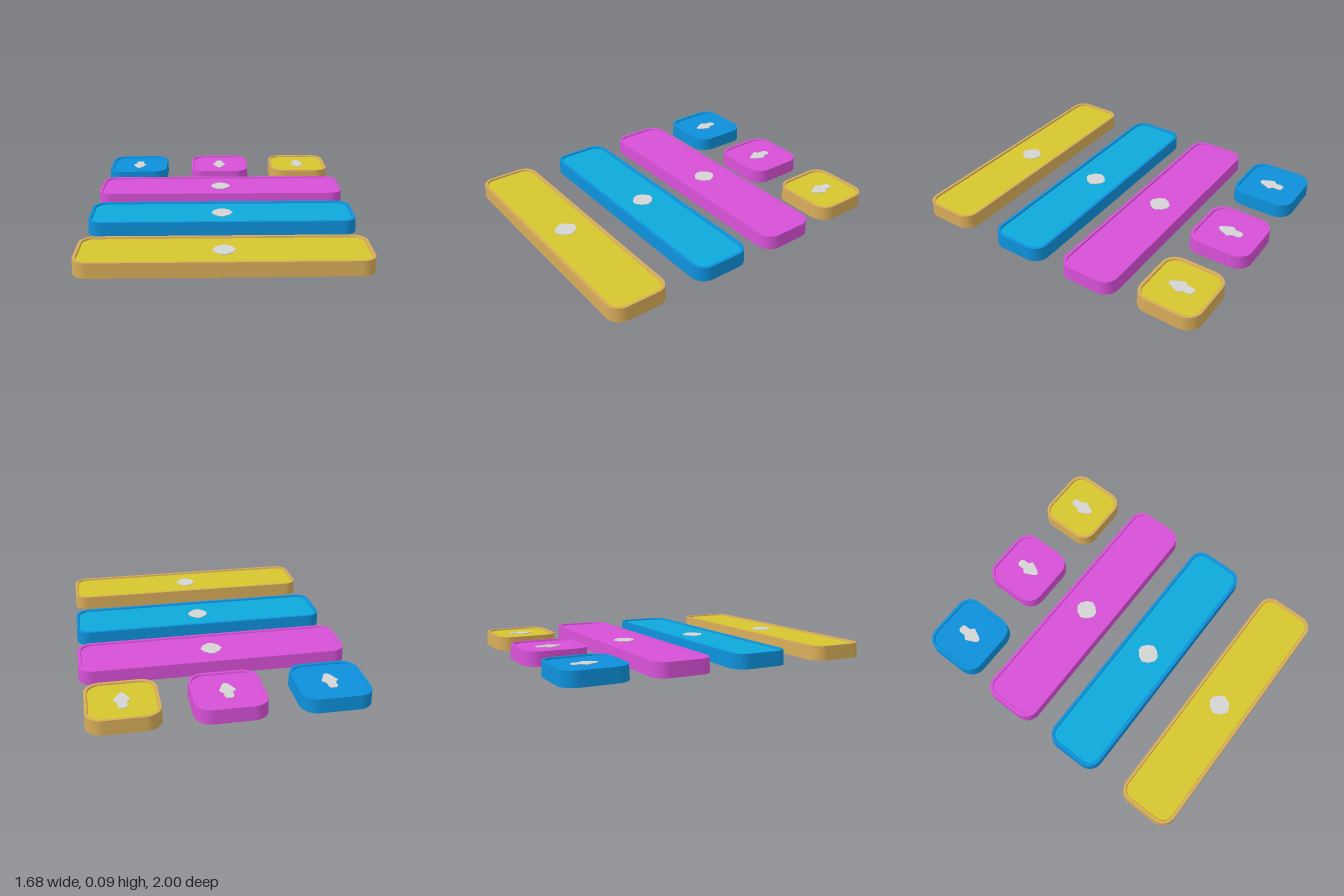
import * as THREE from 'three';

const mat = (name, color) => {
  const m = new THREE.MeshStandardMaterial({ color, side: THREE.DoubleSide });
  m.name = name;
  return m;
};

// Points of a rounded rectangle, shrunk by an inset
function roundedLoop(w, d, r, inset = 0) {
  const pts = [], steps = 8;
  for (let q = 0; q < 4; q++) {
    const sx = q === 0 || q === 3 ? 1 : -1, sz = q < 2 ? 1 : -1;
    for (let i = 0; i <= steps; i++) {
      const a = (q + i / steps) * Math.PI / 2, k = r - inset;
      pts.push([sx * (w / 2 - r) + Math.cos(a) * k, sz * (d / 2 - r) + Math.sin(a) * k]);
    }
  }
  return pts;
}

// Wall and rim: a profile of [inset, height] swept round the loop, each band with its own crisp edge
function sweepRim(w, d, r, profile) {
  const pos = [], idx = [];
  for (let b = 0; b < profile.length - 1; b++) {
    const base = pos.length / 3;
    const loops = [profile[b], profile[b + 1]].map(([inset, y]) => {
      const loop = roundedLoop(w, d, r, inset);
      loop.forEach(([x, z]) => pos.push(x, y, z));
      return loop;
    });
    const n = loops[0].length;
    for (let i = 0; i < n; i++) {
      const j = (i + 1) % n;
      idx.push(base + i, base + n + i, base + n + j, base + i, base + n + j, base + j);
    }
  }
  const g = new THREE.BufferGeometry();
  g.setAttribute('position', new THREE.Float32BufferAttribute(pos, 3));
  g.setIndex(idx);
  g.computeVertexNormals();
  return g;
}

const toShape = pts => new THREE.Shape(pts.map(([x, z]) => new THREE.Vector2(x, -z)));
const flat = pts => new THREE.ShapeGeometry(toShape(pts)).rotateX(-Math.PI / 2);

// Small emblem outlines in x, z
const keyIcon = [[-0.027, -0.065], [-0.015, -0.08], [0.015, -0.08], [0.027, -0.065], [0.027, -0.025],
  [0.05, 0], [0.022, 0.06], [0.008, 0.078], [-0.008, 0.078], [-0.022, 0.06], [-0.05, 0], [-0.027, -0.025]];
const barIcon = [[-0.015, -0.066], [0.015, -0.066], [0.05, -0.038], [0.068, 0], [0.05, 0.038],
  [0.015, 0.066], [-0.015, 0.066], [-0.05, 0.038], [-0.068, 0], [-0.05, -0.038]];

export function createModel() {
  const model = new THREE.Group();
  model.name = 'keySet';
  const tan = mat('tan', 0xd6ab58), yellow = mat('yellow', 0xd6c62f);
  const blue = mat('blue', 0x0d90da), cyan = mat('cyan', 0x0da8da);
  const pink = mat('pink', 0xd650d6), grey = mat('light grey', 0xd4d4d4);
  const H = 0.09, PANEL = 0.08;

  function tray(name, x, z, w, d, r, rimMat, panelMat, icon, closed) {
    const g = new THREE.Group();
    g.name = name;
    g.position.set(x, 0, z);
    const add = (part, geo, m, y = 0) => {
      const mesh = new THREE.Mesh(geo, m);
      mesh.name = part;
      mesh.position.y = y;
      g.add(mesh);
    };
    add('rim', sweepRim(w, d, r, [[0, 0], [0.004, H], [0.022, H], [0.025, PANEL]]), rimMat);
    add('panel', flat(roundedLoop(w, d, r, 0.025)), panelMat, PANEL);
    // The bars have a closed floor, the small keys are open below
    if (closed) add('floor', flat(roundedLoop(w, d, r)), rimMat);
    const plate = new THREE.ExtrudeGeometry(toShape(icon), { depth: 0.008, bevelEnabled: false });
    add('emblem', plate.rotateX(-Math.PI / 2), grey, PANEL - 0.004);
    model.add(g);
  }

  // Long bars, front to back
  tray('yellowBar', 0, 0.81, 1.68, 0.375, 0.09, tan, yellow, barIcon, true);
  tray('blueBar', 0, 0.237, 1.68, 0.375, 0.09, blue, cyan, barIcon, true);
  tray('pinkBar', 0, -0.28, 1.68, 0.375, 0.09, pink, pink, barIcon, true);

  // Small square keys in the back row
  tray('blueKey', -0.613, -0.79, 0.43, 0.412, 0.1, blue, blue, keyIcon, false);
  tray('pinkKey', 0, -0.794, 0.43, 0.412, 0.1, pink, pink, keyIcon, false);
  tray('yellowKey', 0.602, -0.796, 0.43, 0.408, 0.1, tan, yellow, keyIcon, false);

  return model;
}
